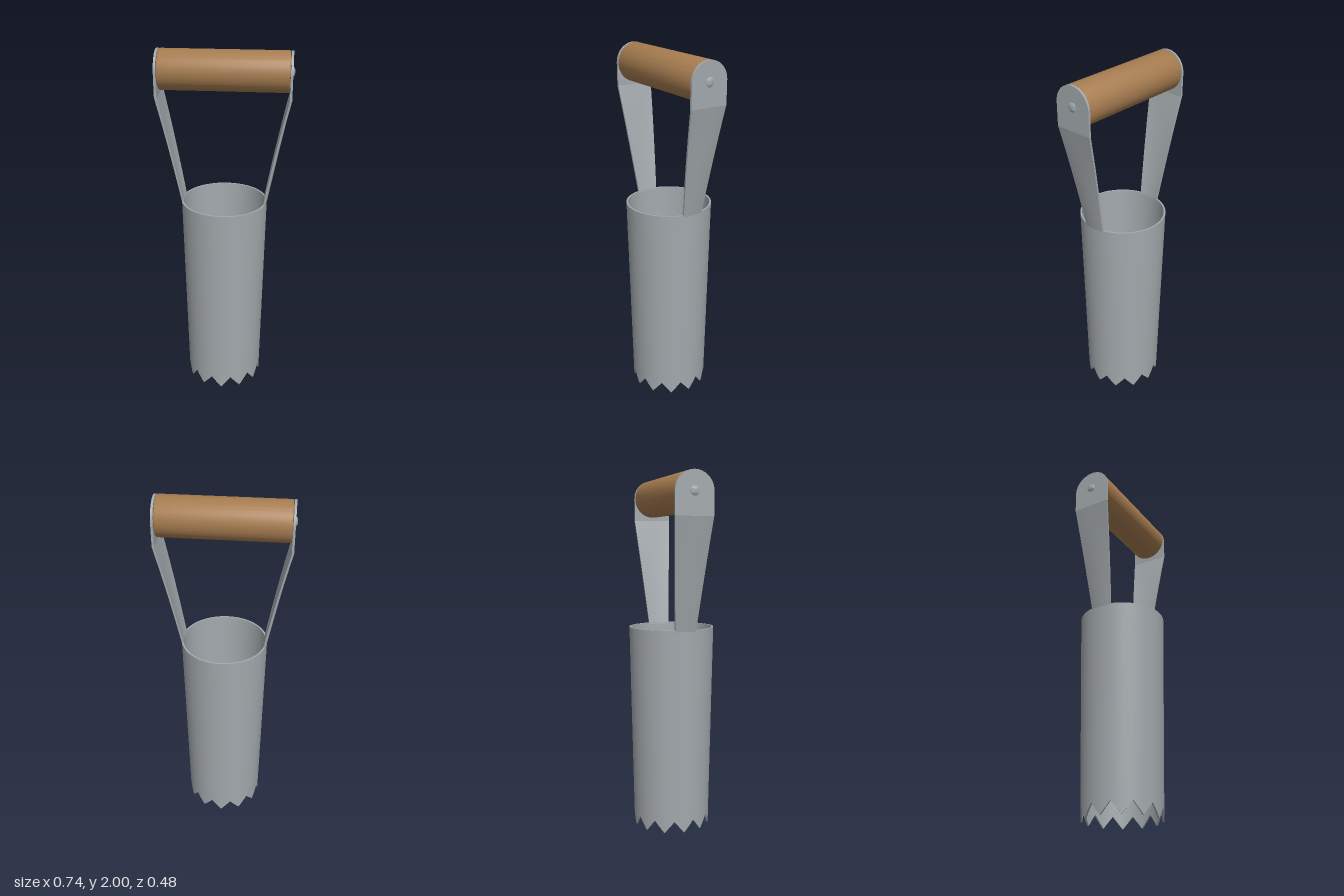
import * as THREE from 'three';
import { toCreasedNormals } from 'three/addons/utils/BufferGeometryUtils.js';

const TUBE_TOP = 1.16, TOOTH = 0.068, TEETH = 12;
const GRIP_Y = 1.892, GRIP_R = 0.108, BEND_Y = 1.765;
const lerp = THREE.MathUtils.lerp;

// Move every vertex of a geometry by a rule, keeping hard edges sharp
function shaped(geo, rule) {
  const pos = geo.attributes.position, p = new THREE.Vector3();
  for (let i = 0; i < pos.count; i++) {
    p.fromBufferAttribute(pos, i);
    rule(p);
    pos.setXYZ(i, p.x, p.y, p.z);
  }
  return toCreasedNormals(geo, 0.6);
}

// Turned profile of [radius, height] pairs, laid along the x axis
function turned(profile, segments) {
  const geo = new THREE.LatheGeometry(profile.map(([r, h]) => new THREE.Vector2(r, h)), segments);
  geo.rotateZ(-Math.PI / 2);
  return toCreasedNormals(geo, 0.6);
}

// Tapered, open tube with a saw-toothed lower rim, bent from a long box
function tubeGeometry() {
  return shaped(new THREE.BoxGeometry(1, 1, 1, TEETH * 8, 1, 1), (p) => {
    const angle = p.x * Math.PI * 2;
    const phase = Math.abs(p.x * TEETH - Math.round(p.x * TEETH)) * 2; // 0 tip, 1 valley
    const y = p.y > 0 ? TUBE_TOP : TOOTH * phase;
    const r = lerp(0.217, 0.24, y / TUBE_TOP) - (p.z > 0 ? 0 : 0.01);
    p.set(r * Math.sin(angle), y, r * Math.cos(angle));
  });
}

// Sloping strap: curved to the tube at its foot, flat and wider at the bend
function strapGeometry() {
  return shaped(new THREE.BoxGeometry(0.011, 1, 1, 1, 10, 8), (p) => {
    const t = p.y + 0.5;
    const z = p.z * 2 * lerp(0.06, GRIP_R, t);
    const foot = Math.sqrt(0.2345 ** 2 - z * z);
    p.set(p.x + lerp(foot, 0.352, t), lerp(1.152, BEND_Y, t), z);
  });
}

// Upright tab with a round top that holds the grip
function tabGeometry() {
  const s = new THREE.Shape();
  s.moveTo(-GRIP_R, BEND_Y);
  s.lineTo(GRIP_R, BEND_Y);
  s.lineTo(GRIP_R, GRIP_Y);
  s.absarc(0, GRIP_Y, GRIP_R, 0, Math.PI, false);
  s.closePath();
  const geo = new THREE.ExtrudeGeometry(s, { depth: 0.012, bevelEnabled: false, curveSegments: 32 });
  geo.rotateY(Math.PI / 2);
  geo.translate(0.346, 0, 0);
  return toCreasedNormals(geo, 0.6);
}

export function createModel() {
  const steel = new THREE.MeshStandardMaterial({ name: 'steel', color: 0xa3a9ad });
  const wood = new THREE.MeshStandardMaterial({ name: 'wood', color: 0xa67c50 });

  const model = new THREE.Group();
  model.name = 'bulbPlanter';
  const add = (parent, name, geo, mat, y = 0) => {
    const mesh = new THREE.Mesh(geo, mat);
    mesh.name = name;
    mesh.position.y = y;
    parent.add(mesh);
    return mesh;
  };

  add(model, 'toothedTube', tubeGeometry(), steel);

  // Wooden grip with softened ends
  add(model, 'grip', turned([
    [0, -0.345], [0.101, -0.345], [0.106, -0.342], [GRIP_R, -0.336],
    [GRIP_R, 0.336], [0.106, 0.342], [0.101, 0.345], [0, 0.345],
  ], 64), wood, GRIP_Y);

  // Strap, tab and rivet on both sides
  const strap = strapGeometry(), tab = tabGeometry();
  const rivet = turned([[0.025, 0.356], [0.025, 0.36], [0.02, 0.364], [0.011, 0.367], [0, 0.368]], 24);
  for (const [side, turn] of [['left', 0], ['right', Math.PI]]) {
    const arm = new THREE.Group();
    arm.name = side + 'Arm';
    arm.rotation.y = turn;
    add(arm, side + 'Strap', strap, steel);
    add(arm, side + 'Tab', tab, steel);
    add(arm, side + 'Rivet', rivet, steel, GRIP_Y);
    model.add(arm);
  }
  return model;
}
